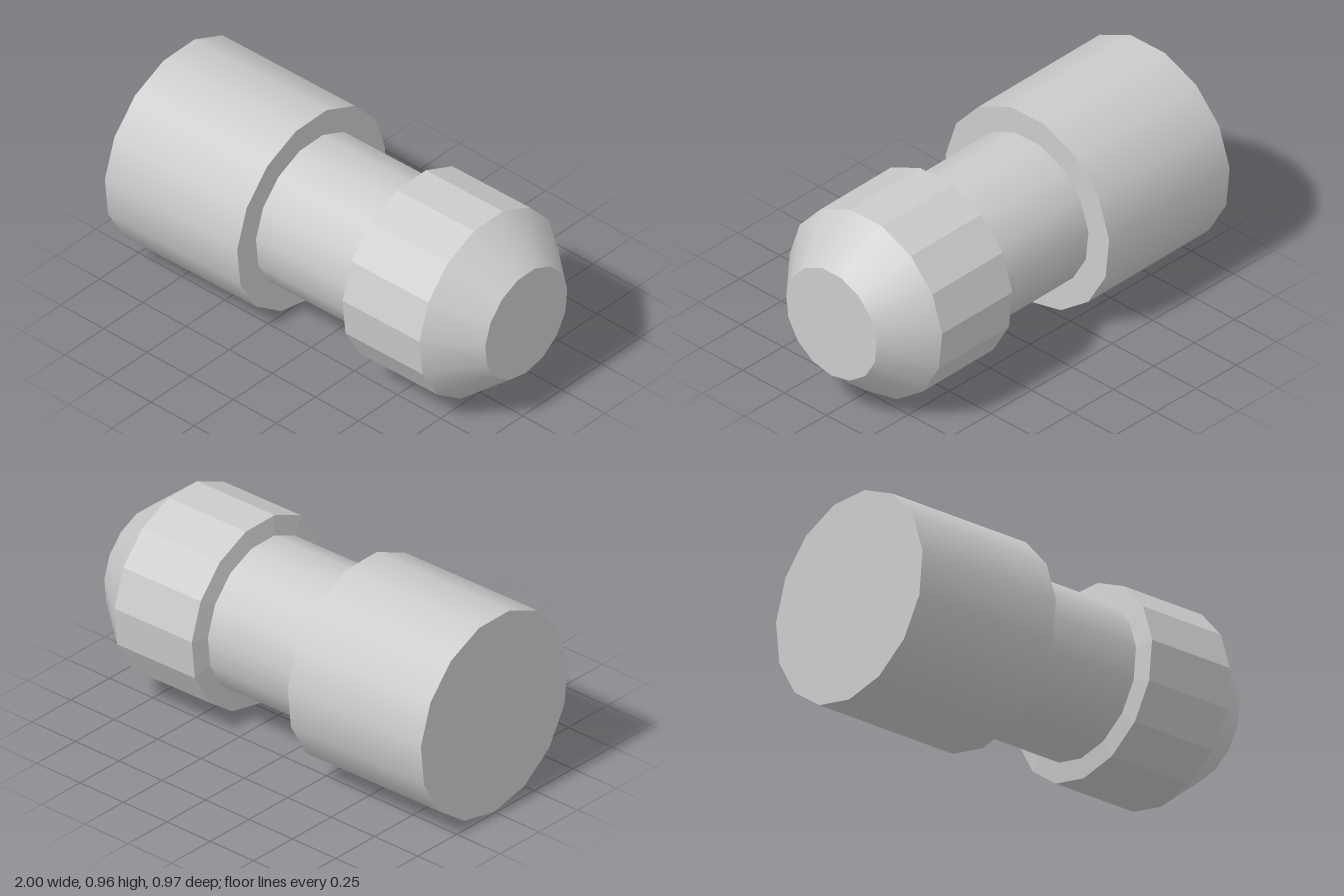
import * as THREE from 'three';

const SIDES = 15;
const FULL = Math.PI * 2;

export function createModel() {
  const model = new THREE.Group();
  const smooth = new THREE.MeshStandardMaterial({ color: 0xcccccc });
  const faceted = new THREE.MeshStandardMaterial({ color: 0xcccccc, flatShading: true });

  const add = (name, geometry, material) => {
    const mesh = new THREE.Mesh(geometry, material);
    mesh.name = name;
    model.add(mesh);
  };

  // Open wall along x from x0 (radius r0) to x1 (radius r1), one corner pointing down
  const wall = (name, x0, r0, x1, r1, material) => {
    const geometry = new THREE.CylinderGeometry(r1, r0, x1 - x0, SIDES, 1, true, Math.PI / 2, FULL);
    geometry.rotateZ(-Math.PI / 2).translate((x0 + x1) / 2, 0, 0);
    add(name, geometry, material);
  };

  // Flat end or step at x, facing along +x or -x
  const face = (name, x, inner, outer, direction) => {
    const geometry = inner > 0
      ? new THREE.RingGeometry(inner, outer, SIDES, 1, -Math.PI / 2, FULL)
      : new THREE.CircleGeometry(outer, SIDES, -Math.PI / 2, FULL);
    geometry.rotateY(direction * Math.PI / 2).translate(x, 0, 0);
    add(name, geometry, faceted);
  };

  // Wide base barrel
  face('baseEnd', -0.993, 0, 0.484, -1);
  wall('baseBarrel', -0.993, 0.484, -0.235, 0.484, smooth);
  face('baseShoulder', -0.235, 0.3615, 0.484, 1);

  // Narrow neck
  wall('neck', -0.235, 0.3615, 0.325, 0.3615, smooth);

  // Collar with a shallow sloping rear face
  wall('collarRear', 0.325, 0.3615, 0.339, 0.4515, faceted);
  wall('collar', 0.339, 0.4515, 0.78, 0.4515, faceted);

  // Tapered nose and flat tip
  wall('nose', 0.78, 0.4515, 0.996, 0.268, smooth);
  face('tip', 0.996, 0, 0.268, 1);

  // The axis is turned very slightly to the back
  model.rotation.y = 0.014;
  model.position.set(0, 0.484, -0.0125);
  return model;
}
